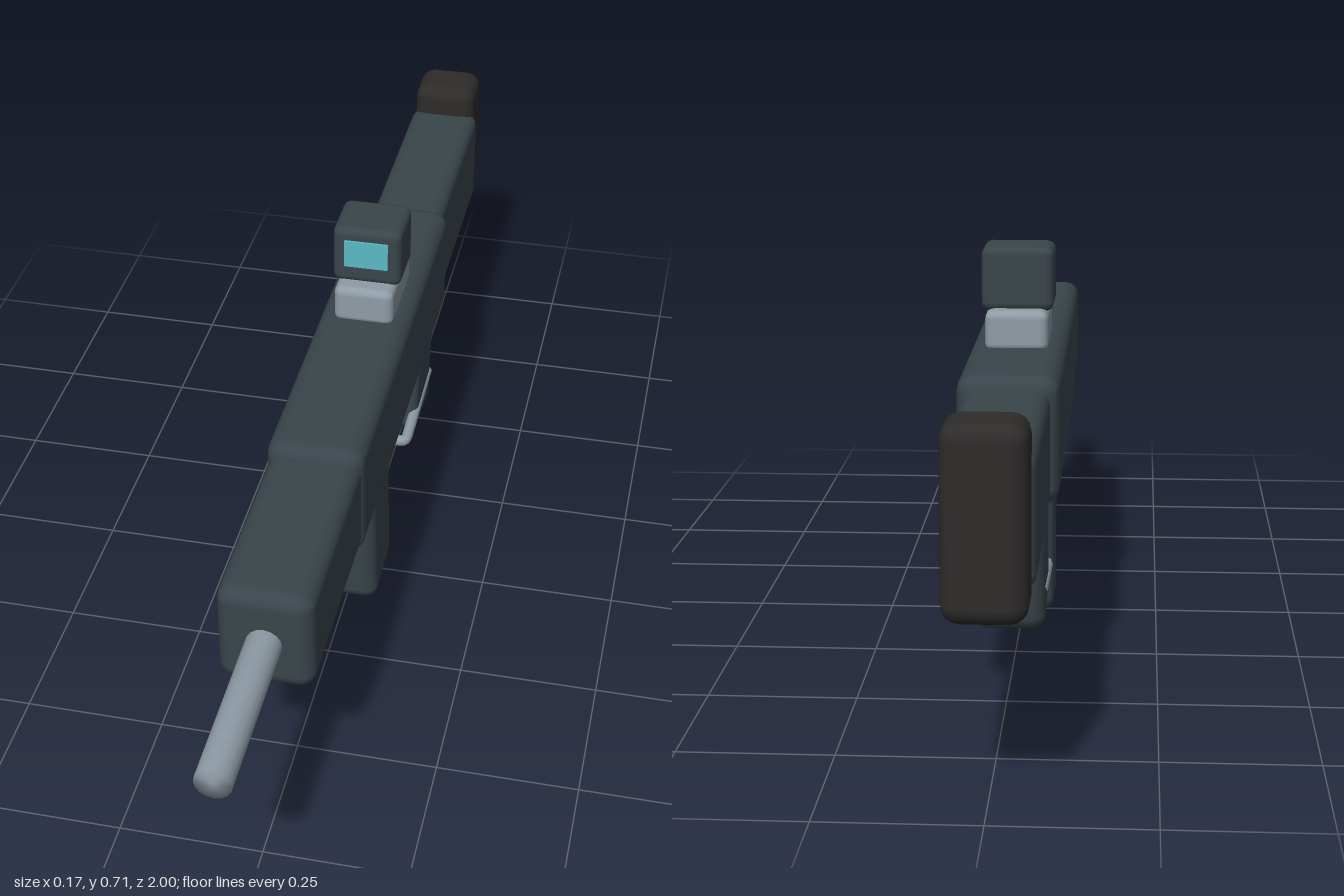
import * as THREE from 'three';
import { RoundedBoxGeometry } from 'three/addons/geometries/RoundedBoxGeometry.js';
import { mergeVertices } from 'three/addons/utils/BufferGeometryUtils.js';

const mat = (color) => new THREE.MeshStandardMaterial({ color });

export function createModel() {
  const model = new THREE.Group();
  model.name = 'toyRifle';
  const body = mat(0x39454b), metal = mat(0x8f9ca6), rubber = mat(0x2e2c2b), glass = mat(0x5bbac6);

  const add = (name, geometry, material) => {
    const mesh = new THREE.Mesh(geometry, material);
    mesh.name = name;
    model.add(mesh);
    return mesh;
  };

  // Rounded block from its half width, y range and z range
  const block = (name, material, halfW, y0, y1, z0, z1, radius) => {
    const mesh = add(name, new RoundedBoxGeometry(halfW * 2, y1 - y0, z1 - z0, 2, radius), material);
    mesh.position.set(0, (y0 + y1) / 2, (z0 + z1) / 2);
    return mesh;
  };

  // Main line, from muzzle to butt
  block('handguard', body, 0.08, 0.332, 0.521, 0.29, 0.697, 0.028);
  block('receiver', body, 0.085, 0.326, 0.544, -0.477, 0.352, 0.03);
  block('stock', body, 0.07, 0.319, 0.526, -0.92, -0.46, 0.025);
  block('buttPad', rubber, 0.063, 0.292, 0.584, -1, -0.885, 0.028);

  // Barrel, with normals blended over the muzzle edge
  const tube = new THREE.CylinderGeometry(0.03, 0.03, 0.34, 16);
  tube.deleteAttribute('normal');
  tube.deleteAttribute('uv');
  const barrelGeo = mergeVertices(tube);
  barrelGeo.computeVertexNormals();
  const barrel = add('barrel', barrelGeo, metal);
  barrel.rotation.x = Math.PI / 2;
  barrel.position.set(0, 0.425, 0.83);

  // Sight on its mount
  block('sightMount', metal, 0.055, 0.535, 0.608, -0.225, -0.05, 0.015);
  block('sight', body, 0.063, 0.602, 0.715, -0.194, -0.082, 0.015);
  const lens = add('sightLens', new THREE.BoxGeometry(0.08, 0.053, 0.01), glass);
  lens.position.set(0, 0.666, -0.083);

  // Magazine and grip lean in opposite directions
  const magazine = block('magazine', body, 0.058, 0.01, 0.37, -0.043, 0.113, 0.024);
  magazine.rotation.x = 0.08;
  magazine.position.set(0, 0.184, 0.034);
  const grip = block('grip', body, 0.061, 0.1, 0.38, -0.47, -0.305, 0.024);
  grip.rotation.x = -0.17;
  grip.position.set(0, 0.252, -0.386);

  // Trigger guard: a flat U reaching forward from the grip
  const w = 0.054, c = 0.012, front = -0.213, back = -0.44;
  const v = (x, z) => new THREE.Vector3(x, 0.155 + (front - z) * 0.075, z);
  const path = new THREE.CurvePath();
  path.add(new THREE.LineCurve3(v(-w, back), v(-w, front - c)));
  path.add(new THREE.QuadraticBezierCurve3(v(-w, front - c), v(-w, front), v(c - w, front)));
  path.add(new THREE.LineCurve3(v(c - w, front), v(w - c, front)));
  path.add(new THREE.QuadraticBezierCurve3(v(w - c, front), v(w, front), v(w, front - c)));
  path.add(new THREE.LineCurve3(v(w, front - c), v(w, back)));
  add('triggerGuard', new THREE.TubeGeometry(path, 90, 0.011, 8), metal);

  return model;
}
